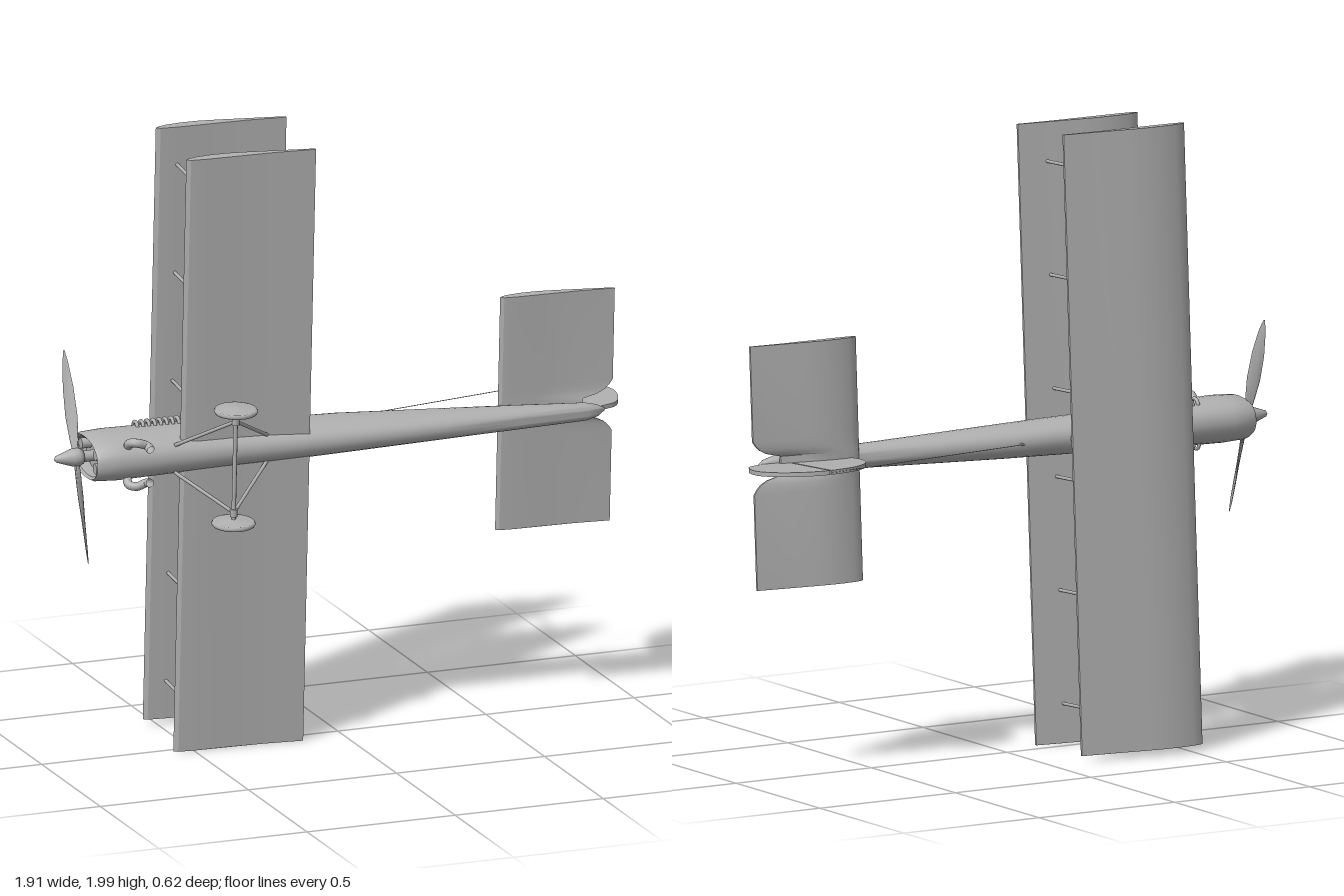
import * as THREE from 'three';
import { toCreasedNormals } from 'three/addons/utils/BufferGeometryUtils.js';

const V = (x, y, z) => new THREE.Vector3(x, y, z);

// Skin a list of closed rings (counter-clockwise seen from the far end), capping both ends
function loft(rings, crease = 0.7) {
  const n = rings[0].length, pos = [];
  const tri = (...p) => p.forEach(v => pos.push(v.x, v.y, v.z));
  for (let i = 0; i < rings.length - 1; i++) {
    for (let j = 0; j < n; j++) {
      const k = (j + 1) % n, [r, s] = [rings[i], rings[i + 1]];
      tri(r[j], r[k], s[j]);
      tri(r[k], s[k], s[j]);
    }
  }
  const a = rings[0], b = rings[rings.length - 1];
  for (let j = 1; j < n - 1; j++) {
    tri(a[0], a[j + 1], a[j]);
    tri(b[0], b[j], b[j + 1]);
  }
  const g = new THREE.BufferGeometry();
  g.setAttribute('position', new THREE.Float32BufferAttribute(pos, 3));
  return toCreasedNormals(g, crease);
}

// Cambered section: chord fraction, height above trailing edge
const AIRFOIL = [[1, 0.003], [0.75, 0.02], [0.5, 0.041], [0.35, 0.05], [0.22, 0.052], [0.1, 0.047],
  [0.03, 0.039], [0, 0.029], [0.03, 0.02], [0.15, 0.015], [0.4, 0.014], [0.7, 0.007], [1, -0.005]];
const section = (x0, x1, y, z, k = 1) => AIRFOIL.map(([t, h]) => V(x0 + t * (x1 - x0), y + h * k, z));

// Oval fuselage ring
function oval(x, top, bottom, half, n = 28) {
  const c = (top + bottom) / 2, r = (top - bottom) / 2, p = 0.88;
  const pw = v => Math.sign(v) * Math.abs(v) ** p;
  return Array.from({ length: n }, (_, i) => {
    const a = i / n * Math.PI * 2;
    return V(x, c + r * pw(Math.cos(a)), half * pw(Math.sin(a)));
  });
}

export function createModel() {
  const model = new THREE.Group();
  model.name = 'biplane';
  // Built nose to -x, up +y, span along z, then laid on its side with a slight roll
  const plane = new THREE.Group();
  plane.name = 'airframe';
  plane.rotation.x = -Math.PI / 2 + 0.056;
  plane.position.set(0, 1, 0);
  model.add(plane);

  const grey = new THREE.MeshStandardMaterial({ color: 0xb0b0b0, side: THREE.DoubleSide });
  grey.name = 'plain grey';
  const add = (name, geo, parent = plane) => {
    const m = new THREE.Mesh(geo, grey);
    m.name = name;
    parent.add(m);
    return m;
  };
  const rod = (name, a, b, r, sides = 8) => {
    const m = add(name, new THREE.CylinderGeometry(r, r, a.distanceTo(b), sides));
    m.position.copy(a).lerp(b, 0.5);
    m.quaternion.setFromUnitVectors(V(0, 1, 0), b.clone().sub(a).normalize());
    return m;
  };

  // Fuselage with a recessed nose opening
  add('fuselage', loft([
    [-0.81, 0.1, -0.09, 0.055], [-0.845, 0.102, -0.092, 0.057], [-0.852, 0.113, -0.104, 0.065],
    [-0.84, 0.12, -0.11, 0.071], [-0.77, 0.125, -0.118, 0.074], [-0.6, 0.126, -0.12, 0.07],
    [-0.42, 0.12, -0.122, 0.065], [-0.28, 0.085, -0.128, 0.06], [-0.15, 0.072, -0.132, 0.057],
    [0, 0.066, -0.133, 0.053], [0.3, 0.02, -0.128, 0.044], [0.57, -0.025, -0.122, 0.036],
    [0.8, -0.065, -0.118, 0.028], [0.84, -0.073, -0.11, 0.018], [0.865, -0.08, -0.092, 0.004],
  ].map(s => oval(...s))));

  // Engine details inside the nose
  for (const y of [-0.055, 0.07]) for (const z of [-0.022, 0.022]) {
    rod('engineCylinder', V(-0.81, y, z), V(-0.842, y, z), 0.017, 14);
  }
  rod('propellerShaft', V(-0.8, 0.01, 0), V(-0.88, 0.01, 0), 0.018, 16);

  // Fairing between the fuselage and the upper wing
  add('wingFairing', loft([[0.06, -0.47, -0.17, 0.05], [0.13, -0.45, -0.25, 0.042], [0.222, -0.43, -0.31, 0.025]]
    .map(([y, x0, x1, w]) => Array.from({ length: 16 }, (_, i) => {
      const a = i / 16 * Math.PI * 2;
      return V((x0 + x1) / 2 + (x1 - x0) / 2 * Math.sin(a), y, w * Math.cos(a));
    }))));

  // Wings
  const wing = (name, x0, x1, y) =>
    add(name, loft([-0.985, 0.985].map(z => section(x0, x1, y, z)), 0.5));
  wing('upperWing', -0.545, -0.117, 0.203);
  wing('lowerWing', -0.565, -0.14, -0.108);

  // Wing struts: front, rear and a diagonal at each station
  for (const s of [-1, 1]) for (const d of [0.14, 0.5, 0.86]) {
    const z = s * d;
    rod('frontStrut', V(-0.49, -0.075, z), V(-0.475, 0.235, z), 0.0055);
    rod('rearStrut', V(-0.235, -0.095, z), V(-0.225, 0.22, z), 0.0055);
    rod('diagonalStrut', V(-0.485, -0.075, z), V(-0.235, 0.22, z), 0.0045);
  }

  // Tailplane with a notch for the rudder
  const tail = [[0.387, 0.905], [0.085, 0.905], [0.07, 0.895], [0.055, 0.88], [0.042, 0.855], [0.03, 0.805]];
  const stations = [...tail.map(([z, x]) => [-z, x]), ...tail.slice().reverse()];
  add('tailplane', loft(stations.map(([z, x]) => section(0.53, x, -0.05, z, 0.9)), 0.5));

  // Fin and rudder, split by a narrow hinge gap
  const plate = (name, build, depth) => {
    const s = new THREE.Shape();
    build(s);
    const g = new THREE.ExtrudeGeometry(s, { depth, bevelEnabled: false, curveSegments: 14 });
    g.translate(0, 0, -depth / 2);
    return add(name, toCreasedNormals(g, 0.6));
  };
  plate('fin', s => {
    s.moveTo(0.58, -0.06);
    s.bezierCurveTo(0.55, 0.03, 0.56, 0.1, 0.63, 0.155);
    s.quadraticCurveTo(0.68, 0.192, 0.768, 0.194);
    s.lineTo(0.768, -0.09);
    s.lineTo(0.58, -0.08);
  }, 0.014);
  plate('rudder', s => {
    s.moveTo(0.773, -0.07);
    s.lineTo(0.773, 0.194);
    s.bezierCurveTo(0.87, 0.19, 0.95, 0.12, 0.953, 0.045);
    s.bezierCurveTo(0.95, -0.005, 0.93, -0.055, 0.9, -0.064);
    s.lineTo(0.83, -0.085);
  }, 0.014);

  // Aerial wire and its post
  rod('aerialPost', V(-0.01, 0.06, 0), V(-0.012, 0.085, 0), 0.004);
  rod('aerialWire', V(-0.01, 0.08, 0), V(0.765, 0.197, 0), 0.0012, 5);

  // Spinner and two-bladed propeller
  const spinner = add('spinner', new THREE.LatheGeometry([[0.001, 0.095], [0.01, 0.088], [0.018, 0.065],
    [0.028, 0.035], [0.03, 0.015], [0.024, 0], [0.001, 0]].reverse().map(p => new THREE.Vector2(...p)), 20));
  spinner.rotation.z = Math.PI / 2;
  spinner.position.set(-0.86, 0.01, 0);
  const prop = new THREE.Group();
  prop.name = 'propeller';
  prop.position.set(-0.88, 0.01, 0);
  prop.rotation.x = -0.37;
  plane.add(prop);
  const blade = loft([[0.01, 0.008, 0.008, 1.1], [0.05, 0.014, 0.006, 0.95], [0.13, 0.022, 0.005, 0.7],
    [0.22, 0.022, 0.004, 0.5], [0.3, 0.013, 0.003, 0.4], [0.338, 0.003, 0.001, 0.35]]
    .map(([z, c, t, pitch]) => Array.from({ length: 12 }, (_, i) => {
      const a = i / 12 * Math.PI * 2, u = t * Math.cos(a), v = c * Math.sin(a);
      return V(u * Math.cos(pitch) - v * Math.sin(pitch), u * Math.sin(pitch) + v * Math.cos(pitch), z);
    })), 1);
  for (const turn of [0, Math.PI]) add('propellerBlade', blade, prop).rotation.x = turn;

  // Landing gear: axle, V legs and domed wheels
  const axleY = -0.232, axleX = -0.44;
  rod('axle', V(axleX, axleY, -0.185), V(axleX, axleY, 0.185), 0.007, 10);
  const wheel = new THREE.LatheGeometry([[0, -0.014], [0.03, -0.011], [0.058, -0.006], [0.066, -0.007], [0.07, 0],
    [0.066, 0.007], [0.058, 0.006], [0.03, 0.011], [0, 0.014]].map(p => new THREE.Vector2(...p)), 32);
  for (const s of [-1, 1]) {
    const w = add('wheel', wheel);
    w.rotation.x = Math.PI / 2;
    w.position.set(axleX, axleY, s * 0.187);
    rod('wheelHub', V(axleX, axleY, s * 0.14), V(axleX, axleY, s * 0.165), 0.012, 12);
    for (const x of [-0.59, -0.28]) {
      rod('landingGearLeg', V(axleX, axleY, s * 0.152), V(x, -0.1, s * 0.045), 0.006);
    }
    // Exhaust stubs along the engine and a curved pipe under the nose
    for (let i = 0; i < 9; i++) {
      const x = -0.665 + i * 0.02;
      const stub = add('exhaustStub', new THREE.TorusGeometry(0.02, 0.006, 8, 12, Math.PI));
      stub.rotation.set(0, -s * Math.PI / 2, Math.PI / 2, 'YXZ');
      stub.rotation.set(0, 0, 0);
      stub.geometry.rotateZ(-Math.PI / 2).rotateY(-s * Math.PI / 2);
      stub.position.set(x, 0.05, s * 0.06);
    }
    const path = new THREE.CatmullRomCurve3([V(-0.74, -0.075, s * 0.04), V(-0.745, -0.1, s * 0.068),
      V(-0.725, -0.118, s * 0.072), V(-0.695, -0.122, s * 0.062), V(-0.69, -0.145, s * 0.055)]);
    add('intakePipe', new THREE.TubeGeometry(path, 20, 0.014, 12));
  }
  return model;
}
